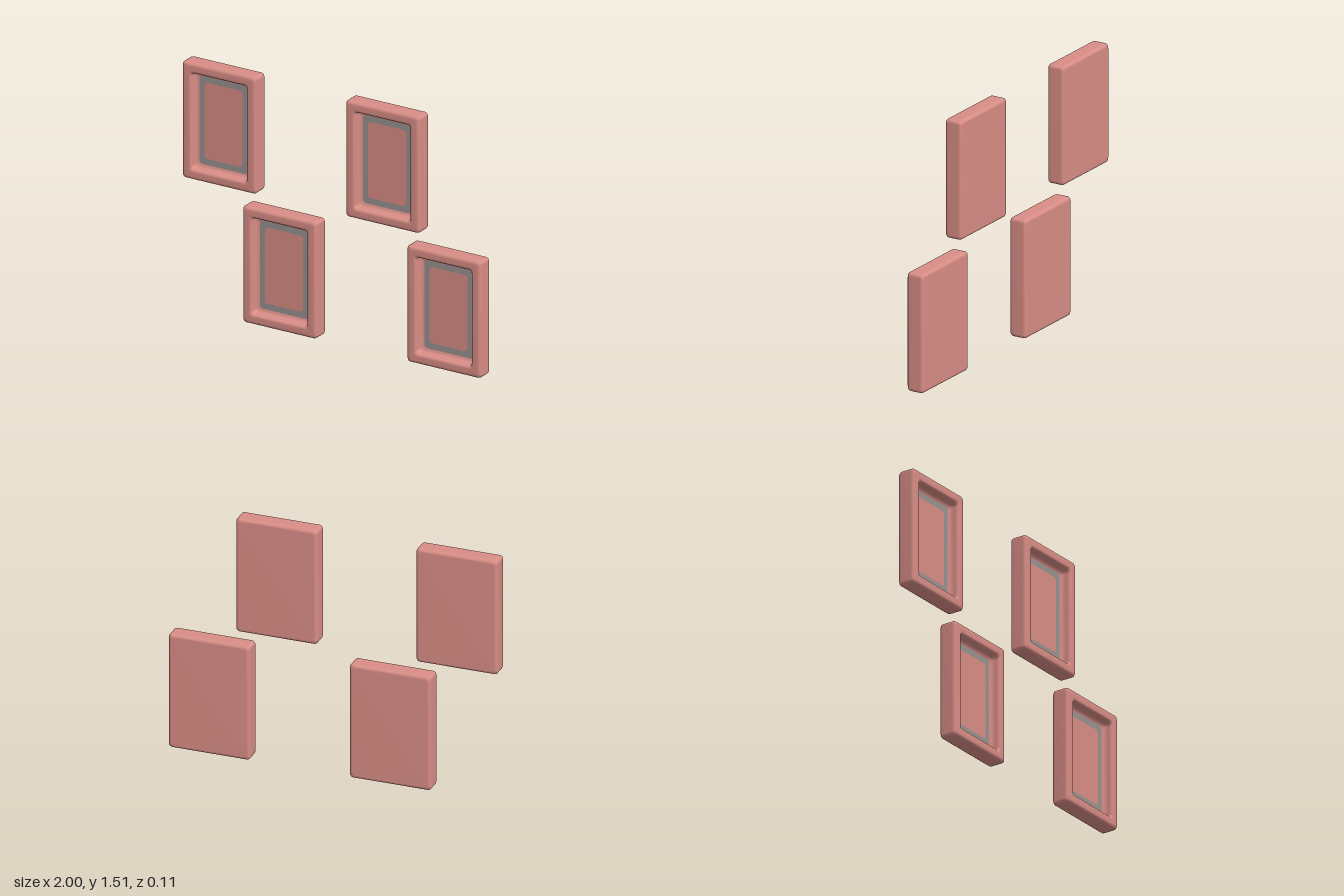
import * as THREE from 'three';

const W = 0.2475, H = 0.3575; // half width and half height of one frame
const D = 0.055;              // half depth
const FLOOR = 0.0;            // depth of the recessed floor

// Points of a rounded rectangle, counter-clockwise seen from the front
function outline(hw, hh, r, steps = 4) {
  const pts = [];
  const corners = [[1, 1], [-1, 1], [-1, -1], [1, -1]];
  corners.forEach(([sx, sy], k) => {
    for (let i = 0; i <= steps; i++) {
      const a = (k + i / steps) * Math.PI / 2;
      pts.push([sx * (hw - r) + r * Math.cos(a), sy * (hh - r) + r * Math.sin(a)]);
    }
  });
  return pts;
}

// Skin through rows of [halfWidth, halfHeight, z, cornerRadius]
function loft(rows) {
  const pos = [], index = [];
  let n = 0;
  for (const [hw, hh, z, r] of rows) {
    const pts = outline(hw, hh, r);
    n = pts.length;
    for (const [x, y] of pts) pos.push(x, y, z);
  }
  for (let i = 0; i < rows.length - 1; i++) {
    for (let j = 0; j < n; j++) {
      const k = (j + 1) % n;
      const a = i * n + j, b = i * n + k, c = a + n, d = b + n;
      index.push(a, b, d, a, d, c);
    }
  }
  const geo = new THREE.BufferGeometry();
  geo.setAttribute('position', new THREE.Float32BufferAttribute(pos, 3));
  geo.setIndex(index);
  geo.computeVertexNormals();
  return geo;
}

// Row at a given inset from the outer edge
const inset = (d, z, r = 0.02) => [W - d, H - d, z, r];

// Quarter-round edge centred on (inset cd, depth cz)
function roundEdge(cd, cz, r, from, to) {
  const rows = [];
  for (let i = 0; i <= 4; i++) {
    const a = THREE.MathUtils.lerp(from, to, i / 4);
    rows.push(inset(cd - r * Math.cos(a), cz + r * Math.sin(a)));
  }
  return rows;
}

export function createModel() {
  const pink = new THREE.MeshStandardMaterial({ color: 0xd98d86 });
  pink.name = 'dusty pink';
  const grey = new THREE.MeshStandardMaterial({ color: 0x979290 });
  grey.name = 'warm grey';

  // Back, rounded sides, front rim and sloping inner wall
  const q = Math.PI / 2, R = 0.02;
  const frameGeo = loft([
    [0, 0, -D, 0],
    ...roundEdge(R, -D + R, R, -q, 0),
    ...roundEdge(R, D - R, R, 0, q),
    ...roundEdge(0.047, D - 0.016, 0.016, q, 2 * q),
    inset(0.064, 0.022),
    inset(0.068, 0.011),
    inset(0.075, 0.004),
    inset(0.087, FLOOR),
  ]);

  // Floor of the recess: grey border around a pink panel
  const borderGeo = loft([inset(0.087, FLOOR), [0.128, 0.234, FLOOR, 0.02]]);
  const panelGeo = loft([[0.128, 0.234, FLOOR, 0.02], [0, 0, FLOOR, 0]]);

  const group = new THREE.Group();
  group.name = 'pictureFrames';
  const places = [
    ['upperRightFrame', -0.7525, 1.1575],
    ['upperLeftFrame', 0.3425, 1.1575],
    ['lowerRightFrame', -0.3475, 0.3575],
    ['lowerLeftFrame', 0.7525, 0.3575],
  ];
  for (const [name, x, y] of places) {
    const unit = new THREE.Group();
    unit.name = name;
    unit.position.set(x, y, 0);
    const parts = [['frame', frameGeo, pink], ['border', borderGeo, grey], ['panel', panelGeo, pink]];
    for (const [part, geo, mat] of parts) {
      const mesh = new THREE.Mesh(geo, mat);
      mesh.name = part;
      unit.add(mesh);
    }
    group.add(unit);
  }
  return group;
}
